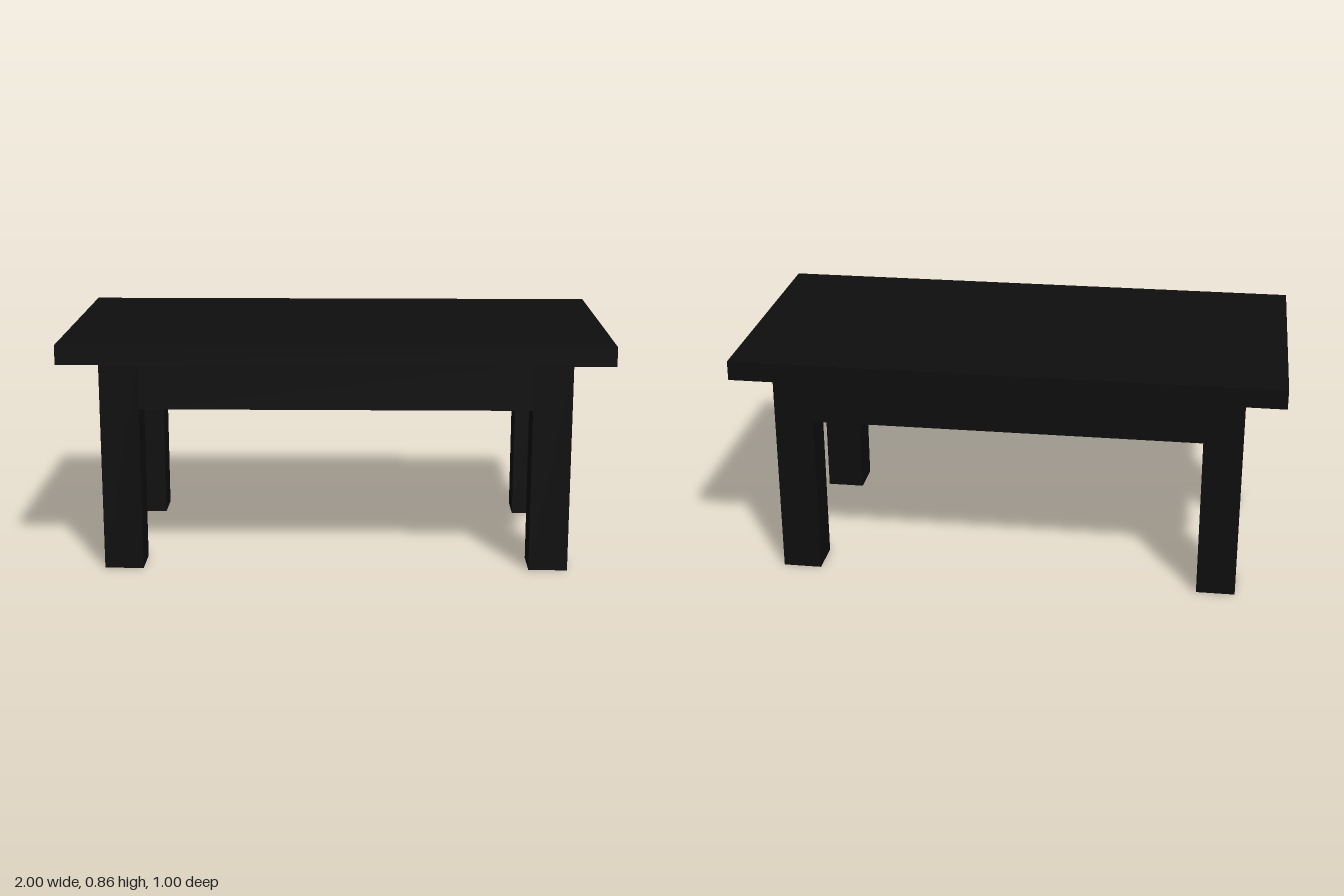
import * as THREE from 'three';

export function createModel() {
  const group = new THREE.Group();
  const darkWood = new THREE.MeshStandardMaterial({ color: 0x0e0e0e });
  darkWood.name = 'darkWood';

  const U = 1 / 14; // board thickness
  const halfX = 12 * U, halfZ = 6 * U; // outer faces of the base
  const leg = 2 * U, legHeight = 11 * U, apronHeight = 2.5 * U;

  const box = (name, w, h, d, x, y, z) => {
    const mesh = new THREE.Mesh(new THREE.BoxGeometry(w, h, d), darkWood);
    mesh.name = name;
    mesh.position.set(x, y, z);
    group.add(mesh);
  };

  // Overhanging top
  box('tableTop', 28 * U, U, 14 * U, 0, legHeight + U / 2, 0);

  // Square legs at the corners
  for (const [sx, xName] of [[1, 'Left'], [-1, 'Right']]) {
    for (const [sz, zName] of [[1, 'front'], [-1, 'back']]) {
      box(`${zName}${xName}Leg`, leg, legHeight, leg,
        sx * (halfX - leg / 2), legHeight / 2, sz * (halfZ - leg / 2));
    }
  }

  // Aprons between the legs, flush with their outer faces
  const apronY = legHeight - apronHeight / 2;
  for (const s of [1, -1]) {
    box(s > 0 ? 'frontApron' : 'backApron', 2 * (halfX - leg), apronHeight, U,
      0, apronY, s * (halfZ - U / 2));
    box(s > 0 ? 'leftApron' : 'rightApron', U, apronHeight, 2 * (halfZ - leg),
      s * (halfX - U / 2), apronY, 0);
  }

  return group;
}
